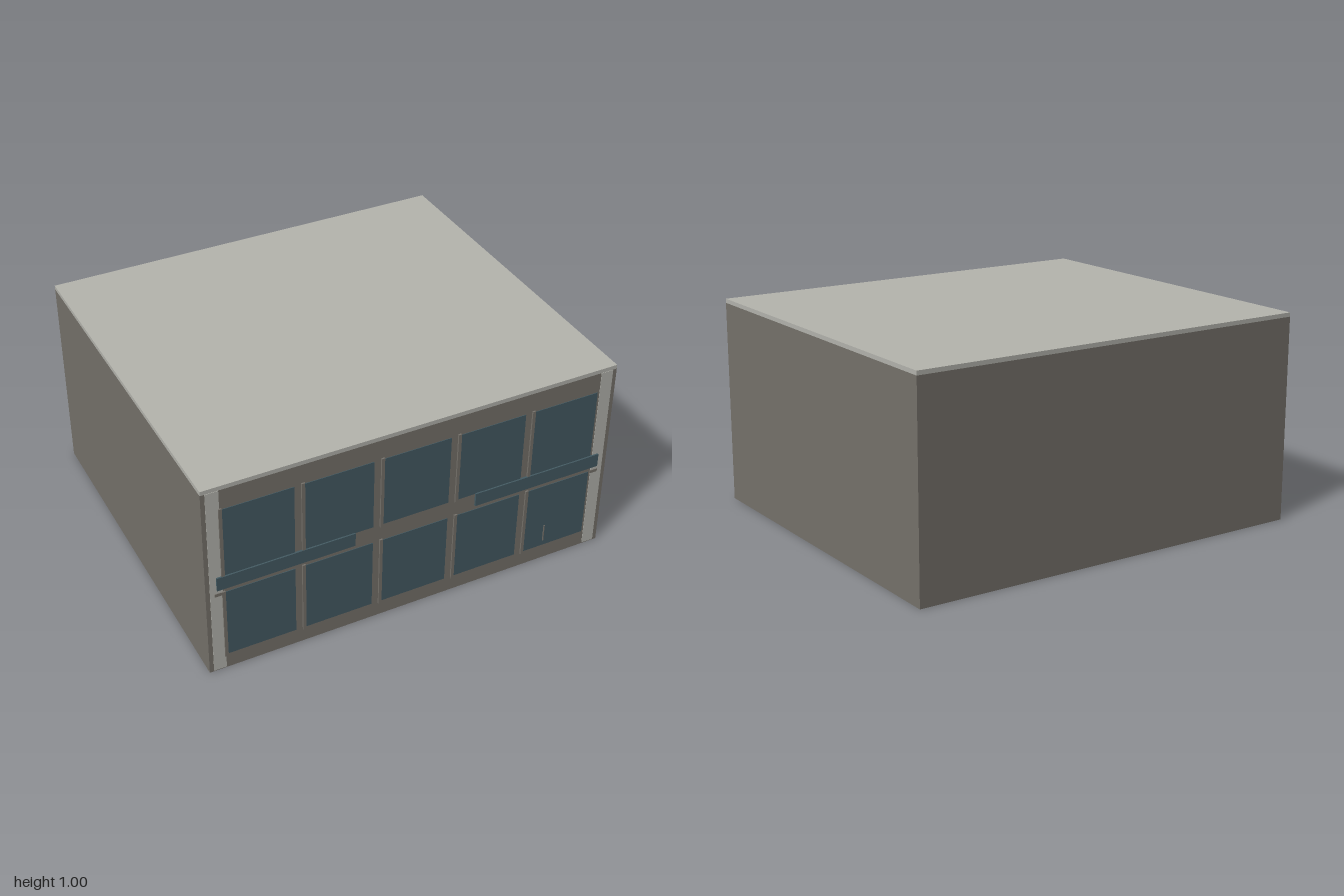
import * as THREE from 'three';

export function createModel() {
  const model = new THREE.Group();
  model.name = 'building';

  const mat = (name, color) => {
    const m = new THREE.MeshStandardMaterial({ color });
    m.name = name;
    return m;
  };
  const wall = mat('warm grey wall', 0x76726b);
  const trim = mat('light grey trim', 0xb5b5ae);
  const glass = mat('blue grey glass', 0x445b63);

  // Box given by its minimum and maximum corners
  const box = (name, material, x0, x1, y0, y1, z0, z1) => {
    const mesh = new THREE.Mesh(new THREE.BoxGeometry(x1 - x0, y1 - y0, z1 - z0), material);
    mesh.position.set((x0 + x1) / 2, (y0 + y1) / 2, (z0 + z1) / 2);
    mesh.name = name;
    model.add(mesh);
  };

  const back = -0.88, front = 0.87;

  // Main block and flat roof
  box('walls', wall, -1, 1, 0, 0.98, back, front);
  box('roof', trim, -1, 1, 0.98, 1, back, front);

  // Pale strips at both ends of the facade, nearly flush with the wall
  for (const s of [-1, 1]) {
    const [a, b] = s < 0 ? [-0.98, -0.92] : [0.92, 0.98];
    box('cornerStrip', trim, a, b, 0.005, 0.98, front - 0.01, front + 0.002);
  }

  // Two rows of five windows, each with a raised fin along its left edge
  const rows = [[0.08, 0.435], [0.525, 0.88]];
  for (const [y0, y1] of rows) {
    for (let i = 0; i < 5; i++) {
      const x = -0.915 + i * 0.3735;
      box('window', glass, x, x + 0.33, y0, y1, front - 0.005, front + 0.003);
      box('windowFin', wall, x - 0.011, x + 0.004, y0 - 0.01, y1 + 0.007, front - 0.005, front + 0.008);
    }
  }

  // Sign bands and the small ledge ends below them
  for (const s of [-1, 1]) {
    const [a, b] = s < 0 ? [-0.95, -0.3] : [0.3, 0.95];
    box('facadeBand', glass, a, b, 0.46, 0.528, front - 0.005, 0.88);
    const [c, d] = s < 0 ? [-0.96, -0.918] : [0.918, 0.955];
    box('ledgeEnd', wall, c, d, 0.425, 0.44, front - 0.005, front + 0.005);
  }

  // Door handle
  box('doorHandle', wall, 0.687, 0.692, 0.11, 0.2, front, front + 0.007);

  return model;
}
